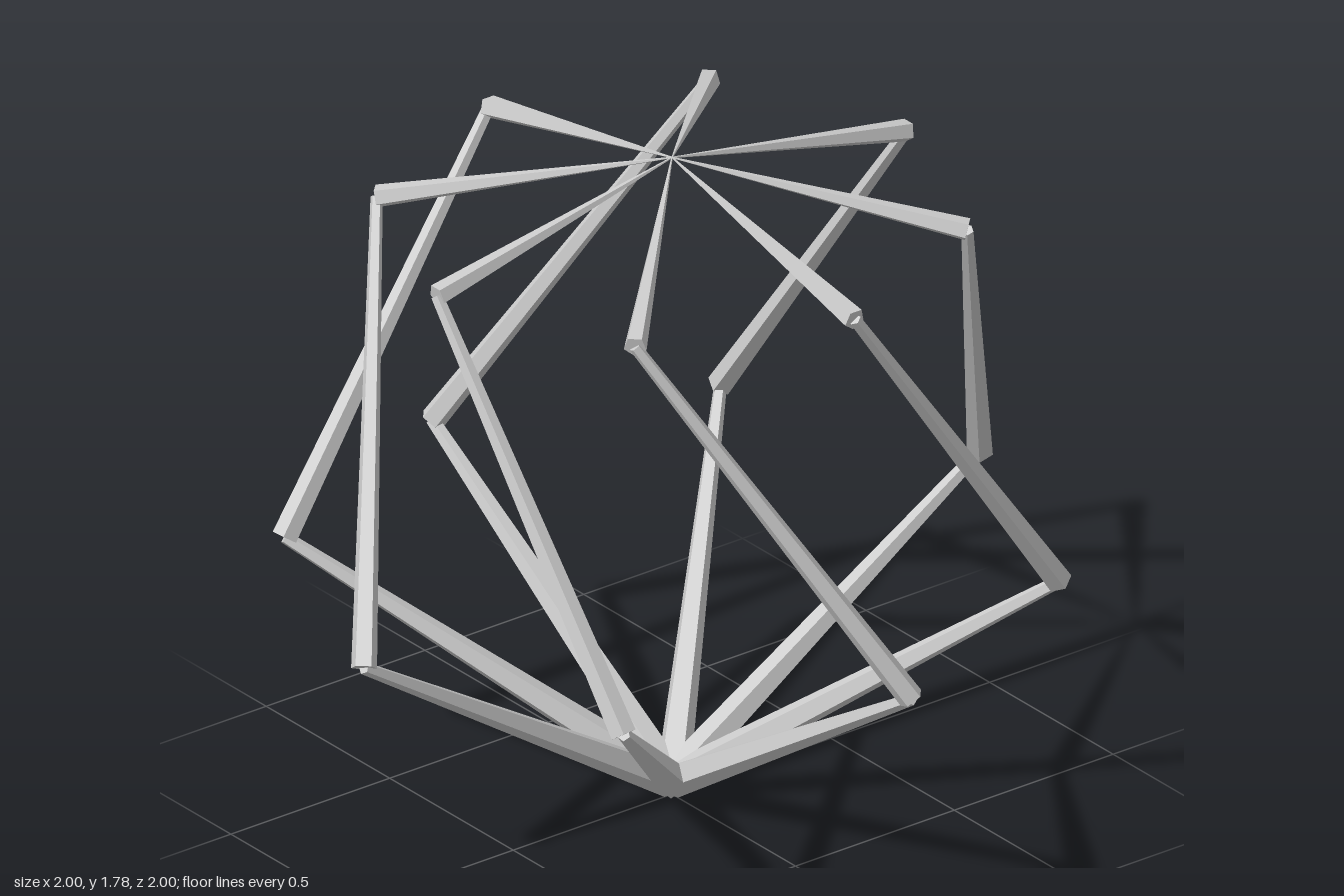
import * as THREE from 'three';

const RIBS = 8;
const SIDES = 5;

// Point at a given distance from the axis, height and angle (from +x towards +z)
const polar = (r, y, a) => new THREE.Vector3(r * Math.cos(a), y, r * Math.sin(a));

const material = new THREE.MeshStandardMaterial({ color: 0xcccccc, flatShading: true });

// Tapered faceted bar from a (thick end) to b (thin end), one edge facing down
function strut(name, a, b, rA, rB) {
  const dir = b.clone().sub(a);
  const geo = new THREE.CylinderGeometry(rB, rA, dir.length(), SIDES);
  const up = dir.clone().normalize();
  const side = new THREE.Vector3(0, 1, 0).cross(up).normalize();
  const down = side.clone().cross(up); // horizontal axis x bar axis
  if (down.y > 0) { down.negate(); side.negate(); }
  const basis = new THREE.Matrix4().makeBasis(up.clone().cross(down), up, down);
  basis.setPosition(a.clone().add(b).multiplyScalar(0.5));
  geo.applyMatrix4(basis);
  const mesh = new THREE.Mesh(geo, material);
  mesh.name = name;
  return mesh;
}

export function createModel() {
  const model = new THREE.Group();
  model.name = 'twistedCage';
  const step = (Math.PI * 2) / RIBS;

  const base = new THREE.Vector3(0, 0.038, 0);
  const apex = new THREE.Vector3(0, 1.775, 0);

  // Each rib rises outward, twists by one step, then closes at the apex
  for (let i = 0; i < RIBS; i++) {
    const rib = new THREE.Group();
    rib.name = `rib${i + 1}`;
    const lower = polar(0.97, 0.655, i * step);
    const upper = polar(0.74, 1.62, (i + 1) * step);
    rib.add(
      strut('lowerStrut', base, lower, 0.045, 0.017),
      strut('middleStrut', lower, upper, 0.034, 0.016),
      strut('upperStrut', upper, apex, 0.03, 0.002),
    );
    model.add(rib);
  }
  return model;
}
